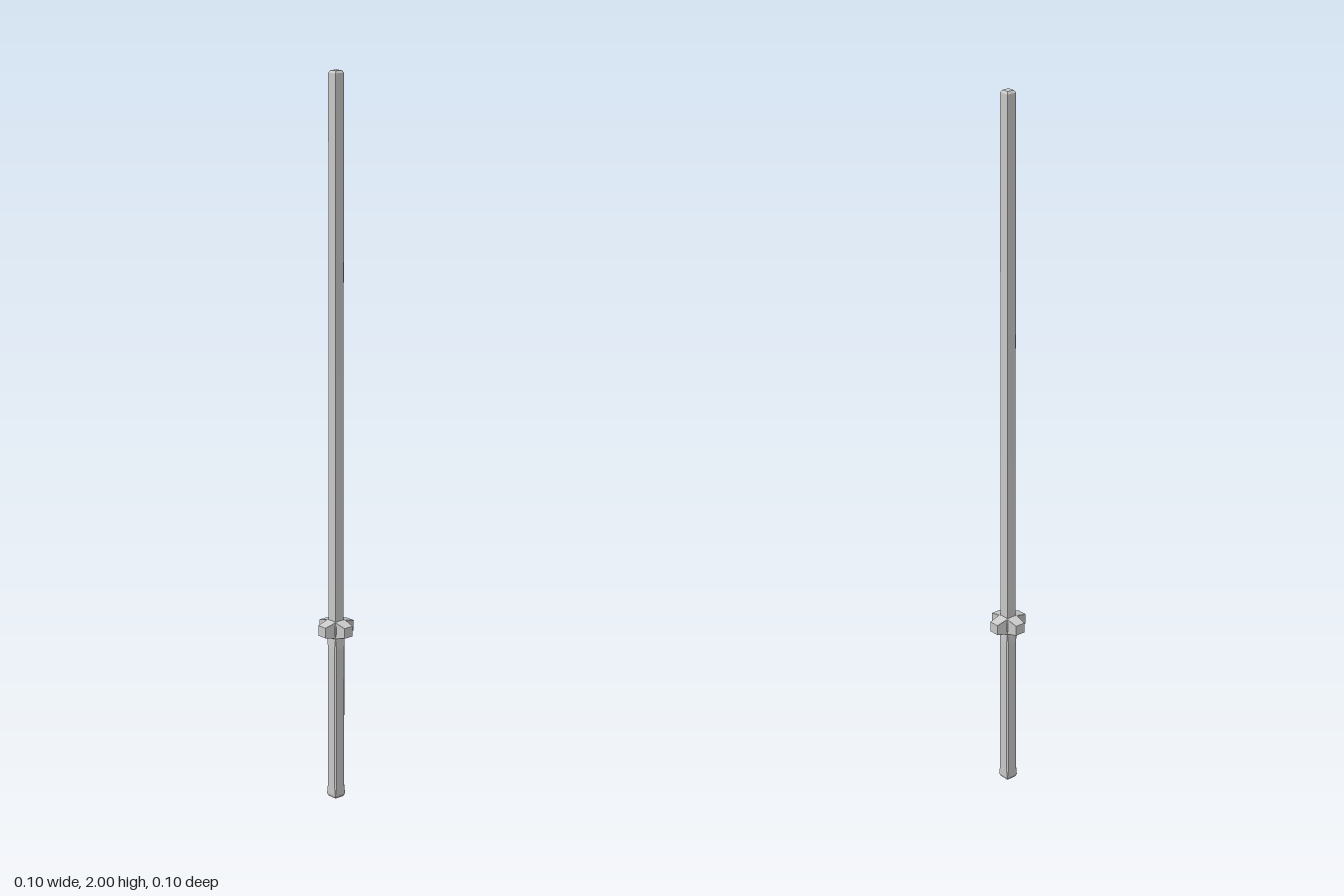
import * as THREE from 'three';

// Chamfered rectangular cross-section at height y, counter-clockwise from above
function ring(y, hx, hz = hx, c = 0.0005) {
  return [
    [hx, hz - c], [hx, -hz + c], [hx - c, -hz], [-hx + c, -hz],
    [-hx, -hz + c], [-hx, hz - c], [-hx + c, hz], [hx - c, hz],
  ].map(([x, z]) => [x, y, z]);
}

// Flat-faced solid through a stack of rings, capped at both ends
function loft(rings) {
  const out = [];
  const tri = (a, b, c) => out.push(...a, ...b, ...c);
  const n = rings[0].length;
  for (let r = 0; r < rings.length - 1; r++) {
    for (let i = 0; i < n; i++) {
      const j = (i + 1) % n;
      const lo = rings[r], hi = rings[r + 1];
      tri(lo[i], lo[j], hi[j]);
      tri(lo[i], hi[j], hi[i]);
    }
  }
  const bottom = rings[0], top = rings[rings.length - 1];
  for (let i = 1; i < n - 1; i++) {
    tri(top[0], top[i], top[i + 1]);
    tri(bottom[0], bottom[i + 1], bottom[i]);
  }
  const g = new THREE.BufferGeometry();
  g.setAttribute('position', new THREE.Float32BufferAttribute(out, 3));
  g.computeVertexNormals();
  return g;
}

export function createModel() {
  const model = new THREE.Group();
  const material = new THREE.MeshStandardMaterial({ color: 0xcccccc, flatShading: true });
  const add = (name, geometry, parent = model) => {
    const mesh = new THREE.Mesh(geometry, material);
    mesh.name = name;
    parent.add(mesh);
    return mesh;
  };

  // Long square blade with a small bevel at the tip
  add('blade', loft([ring(0.48, 0.0145), ring(1.994, 0.0145), ring(2, 0.0105)]));

  // Square grip: corner chamfers fade out toward both bevelled ends
  add('grip', loft([
    ring(0, 0.0145),
    ring(0.008, 0.0178),
    ring(0.035, 0.0178, 0.0178, 0.004),
    ring(0.435, 0.0178, 0.0178, 0.004),
    ring(0.465, 0.0165),
    ring(0.48, 0.0165),
  ]));

  // Cross guard: central block with four tapering arms
  const guard = new THREE.Group();
  guard.name = 'guard';
  guard.position.y = 0.491;
  model.add(guard);
  add('guardCore', loft([
    ring(-0.0235, 0.0165),
    ring(-0.011, 0.021, 0.021, 0.002),
    ring(0.011, 0.021, 0.021, 0.002),
    ring(0.0235, 0.0165),
  ]), guard);

  const armGeometry = loft([
    ring(0.01, 0.018, 0.0235),
    ring(0.0165, 0.018, 0.0235),
    ring(0.051, 0.015, 0.0145),
  ]).rotateX(Math.PI / 2);
  for (let i = 0; i < 4; i++) {
    add('guardArm' + (i + 1), armGeometry, guard).rotation.y = i * Math.PI / 2;
  }

  return model;
}
